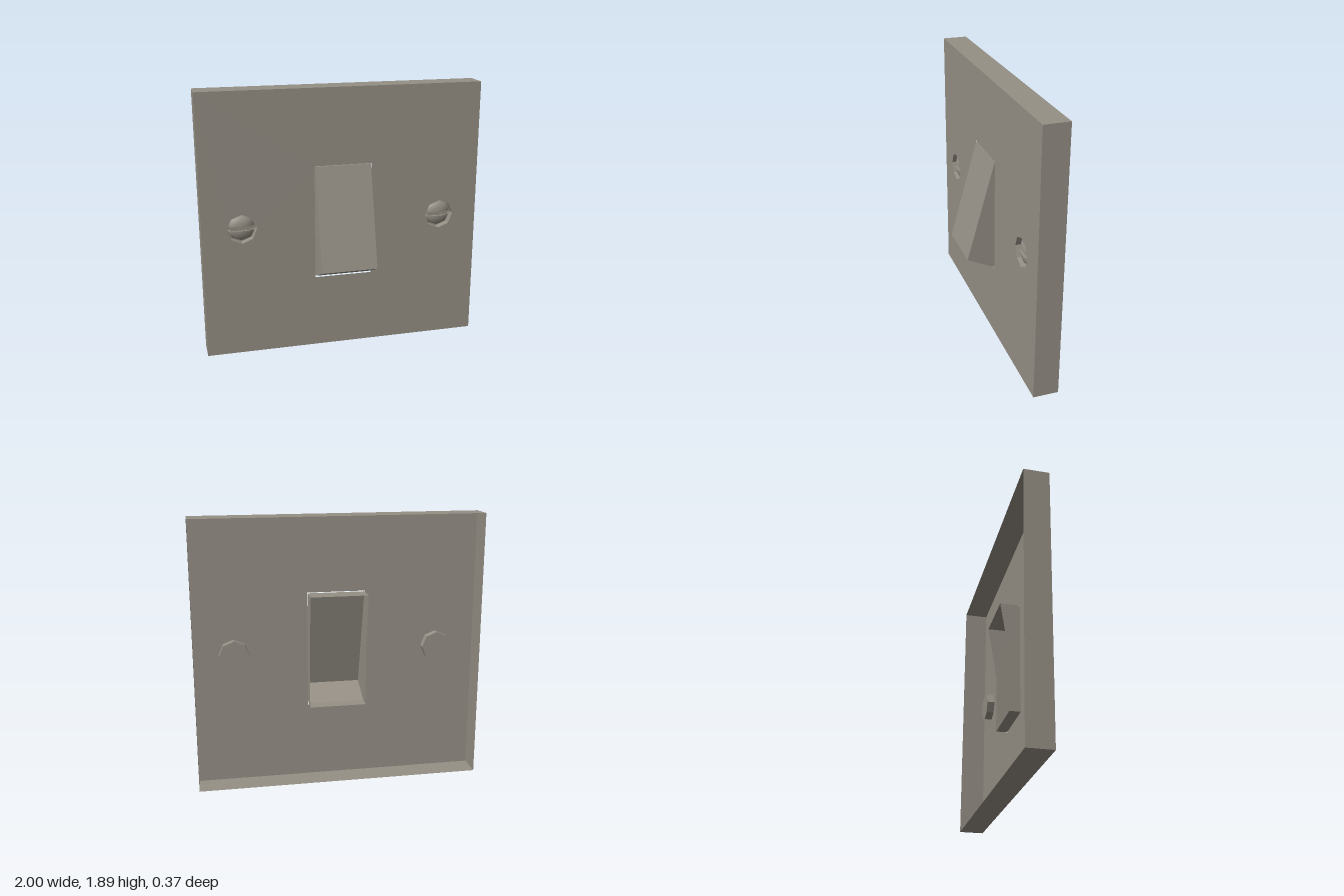
import * as THREE from 'three';

const FRONT = -0.01, BACK = -0.185, HEIGHT = 1.89;
const SCREW = { x: 0.72, y: 0.935, hole: 0.105, depth: 0.055, head: 0.095, dome: 0.05, slot: 0.03 };

// Flat-shaded band of quads between two matching point lists
function strip(a, b, closed) {
  const pos = [];
  const n = a.length;
  for (let i = 0; i < (closed ? n : n - 1); i++) {
    const j = (i + 1) % n;
    for (const p of [a[i], a[j], b[j], a[i], b[j], b[i]]) pos.push(...p);
  }
  const g = new THREE.BufferGeometry();
  g.setAttribute('position', new THREE.Float32BufferAttribute(pos, 3));
  g.computeVertexNormals();
  return g;
}

const rect = (w, y0, y1) => [[-w, y0], [w, y0], [w, y1], [-w, y1]];
const octagon = (cx, cy, r) => Array.from({ length: 8 }, (_, i) => {
  const t = i * Math.PI / 4;
  return [cx + r * Math.cos(t), cy + r * Math.sin(t)];
});
const toVec2 = pts => pts.map(p => new THREE.Vector2(p[0], p[1]));
const atZ = (pts, z) => pts.map(p => [p[0], p[1], z]);

export function createModel() {
  const model = new THREE.Group();
  const mat = new THREE.MeshStandardMaterial({ color: 0x958f85, side: THREE.DoubleSide });
  mat.name = 'warm grey plastic';

  const add = (parent, name, geometry) => {
    const mesh = new THREE.Mesh(geometry, mat);
    mesh.name = name;
    parent.add(mesh);
    return mesh;
  };

  // Thin wall plate, open at the back
  const plate = new THREE.Group();
  plate.name = 'wallPlate';
  model.add(plate);
  const outline = rect(1, 0, HEIGHT);
  const face = new THREE.Shape(toVec2(outline));
  face.holes.push(new THREE.Path(toVec2(rect(0.205, 0.53, 1.35))));
  for (const s of [-1, 1]) {
    face.holes.push(new THREE.Path(toVec2(octagon(s * SCREW.x, SCREW.y, SCREW.hole))));
  }
  add(plate, 'plateFace', new THREE.ShapeGeometry(face).translate(0, 0, FRONT));
  add(plate, 'plateRim', strip(atZ(outline, BACK), atZ(outline, FRONT), true));

  // Hollow rocker: side profile as [z, y], open along the back
  const rocker = new THREE.Group();
  rocker.name = 'rocker';
  model.add(rocker);
  const profile = [[-0.152, 1.345], [FRONT, 1.345], [0.185, 0.63], [FRONT, 0.54], [-0.085, 0.535], [-0.085, 0.945]];
  const skin = profile.slice(0, 5);
  const side = x => skin.map(([z, y]) => [x, y, z]);
  add(rocker, 'rockerFace', strip(side(-0.2), side(0.2), false));
  for (const s of [-1, 1]) {
    const cheek = new THREE.ShapeGeometry(new THREE.Shape(toVec2(profile)));
    add(rocker, 'rockerSide', cheek.rotateY(-Math.PI / 2).translate(s * 0.2, 0, 0));
  }

  // Slotted screws sunk in octagonal cups
  const arc = [];
  for (let i = 0; i <= 6; i++) {
    const t = i / 6 * Math.PI / 2;
    arc.push(new THREE.Vector2(SCREW.head * Math.cos(t), SCREW.dome * Math.sin(t)));
  }
  const cutOutline = [...arc, ...arc.slice(0, -1).reverse().map(p => new THREE.Vector2(-p.x, p.y))];
  const half = SCREW.slot / 2;

  for (const s of [-1, 1]) {
    const screw = new THREE.Group();
    screw.name = 'screw';
    screw.position.set(s * SCREW.x, SCREW.y, FRONT - SCREW.depth);
    model.add(screw);

    const ring = octagon(0, 0, SCREW.hole);
    add(screw, 'cupWall', strip(atZ(ring, 0), atZ(ring, SCREW.depth), true));
    add(screw, 'cupFloor', new THREE.CircleGeometry(SCREW.hole, 8));

    // Two half domes with a slot between them
    for (const turn of [0, Math.PI]) {
      const dome = new THREE.LatheGeometry(arc, 4, Math.PI / 2, Math.PI);
      dome.rotateX(Math.PI / 2).scale(1, (SCREW.head - half) / SCREW.head, 1);
      add(screw, 'screwHead', dome.translate(0, half, 0).rotateZ(turn));
      const wall = new THREE.ShapeGeometry(new THREE.Shape(cutOutline));
      add(screw, 'slotWall', wall.rotateX(Math.PI / 2).translate(0, half, 0).rotateZ(turn));
    }
    add(screw, 'slotFloor', new THREE.BoxGeometry(0.15, SCREW.slot, 0.03).translate(0, 0, 0.016));
  }

  return model;
}
